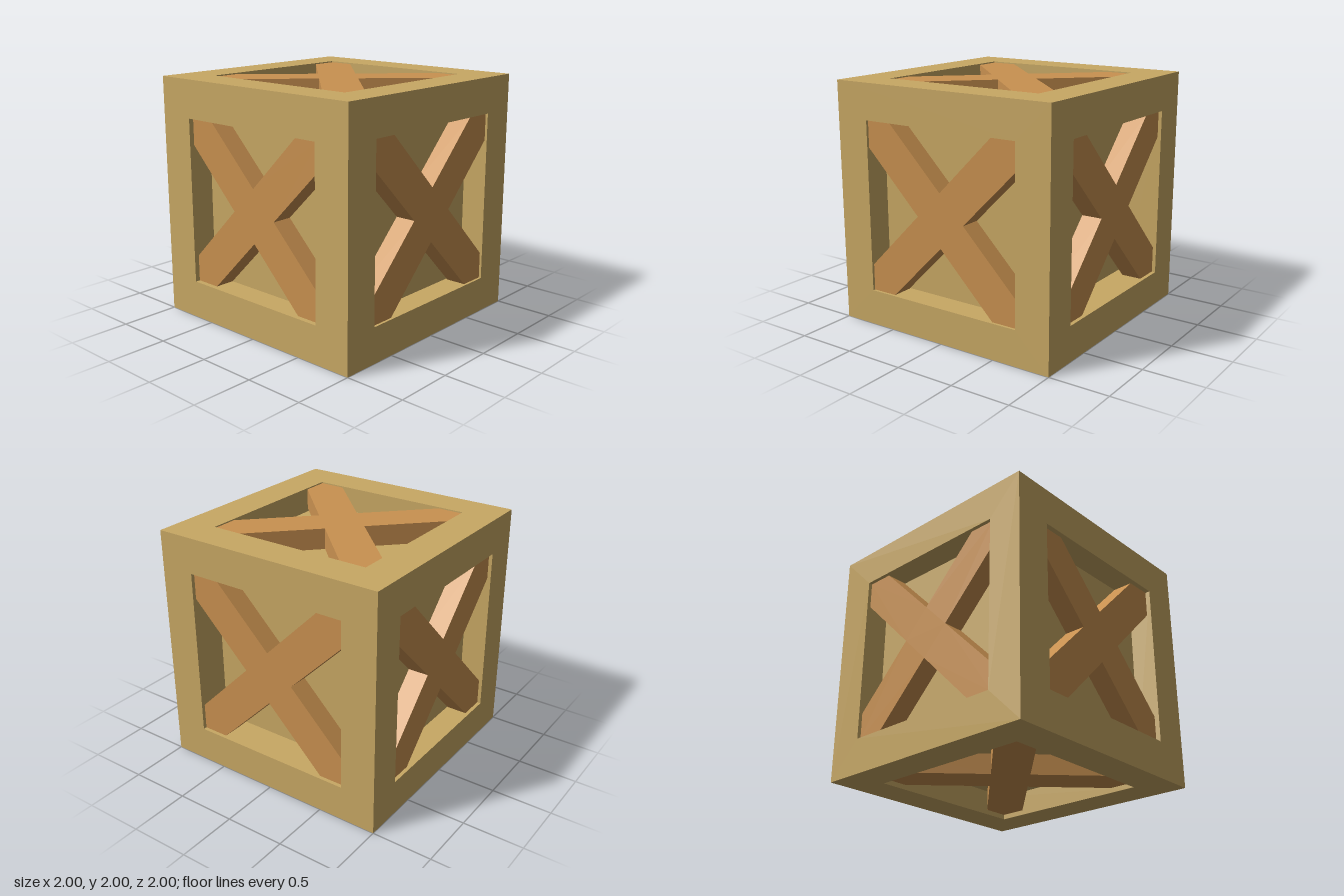
import * as THREE from 'three';

const frameMaterial = new THREE.MeshStandardMaterial({ color: 0xc8a864, flatShading: true });
const braceMaterial = new THREE.MeshStandardMaterial({ color: 0xc99150, flatShading: true });

// Square border, recess walls and sunken panel: a four-sided lathe facing +z
function framedPanel(open, recess) {
  const r = Math.SQRT2;
  const profile = [[1, 1], [open, 1], [open, 1 - recess], [0, 1 - recess]]
    .map(([s, h]) => new THREE.Vector2(s * r, h));
  const geometry = new THREE.LatheGeometry(profile, 4, Math.PI / 4).toNonIndexed();
  geometry.rotateX(Math.PI / 2);
  geometry.computeVertexNormals();
  return new THREE.Mesh(geometry, frameMaterial);
}

// Diagonal cross whose arms are cut square by the opening
function crossBrace(open, inset, depth) {
  const w = 0.22;
  const points = [];
  for (let i = 0; i < 4; i++) {
    for (const [x, y] of [[w, 0], [open, open - w], [open, open], [open - w, open]]) {
      points.push(new THREE.Vector2(x, y).rotateAround(new THREE.Vector2(), i * Math.PI / 2));
    }
  }
  const geometry = new THREE.ExtrudeGeometry(new THREE.Shape(points), { depth, bevelEnabled: false });
  geometry.translate(0, 0, 1 - inset - depth);
  return new THREE.Mesh(geometry, braceMaterial);
}

export function createModel() {
  const crate = new THREE.Group();
  crate.name = 'crate';

  // name, rotation about x, rotation about y, half opening, recess, brace inset
  const q = Math.PI / 2;
  const sides = [
    ['front', 0, 0, 0.687, 0.21, 0.04],
    ['back', 0, 2 * q, 0.705, 0.29, 0.03],
    ['left', 0, q, 0.705, 0.21, 0.02],
    ['right', 0, -q, 0.705, 0.21, 0.03],
    ['top', -q, 0, 0.705, 0.21, 0.01],
    ['bottom', q, 0, 0.705, 0.21, 0.04],
  ];
  for (const [name, rx, ry, open, recess, inset] of sides) {
    const side = new THREE.Group();
    side.name = name + 'Side';
    const panel = framedPanel(open, recess);
    panel.name = name + 'FramedPanel';
    const brace = crossBrace(open - 0.001, inset, 0.17);
    brace.name = name + 'CrossBrace';
    side.add(panel, brace);
    side.rotation.set(rx, ry, 0);
    side.position.y = 1;
    crate.add(side);
  }
  return crate;
}
